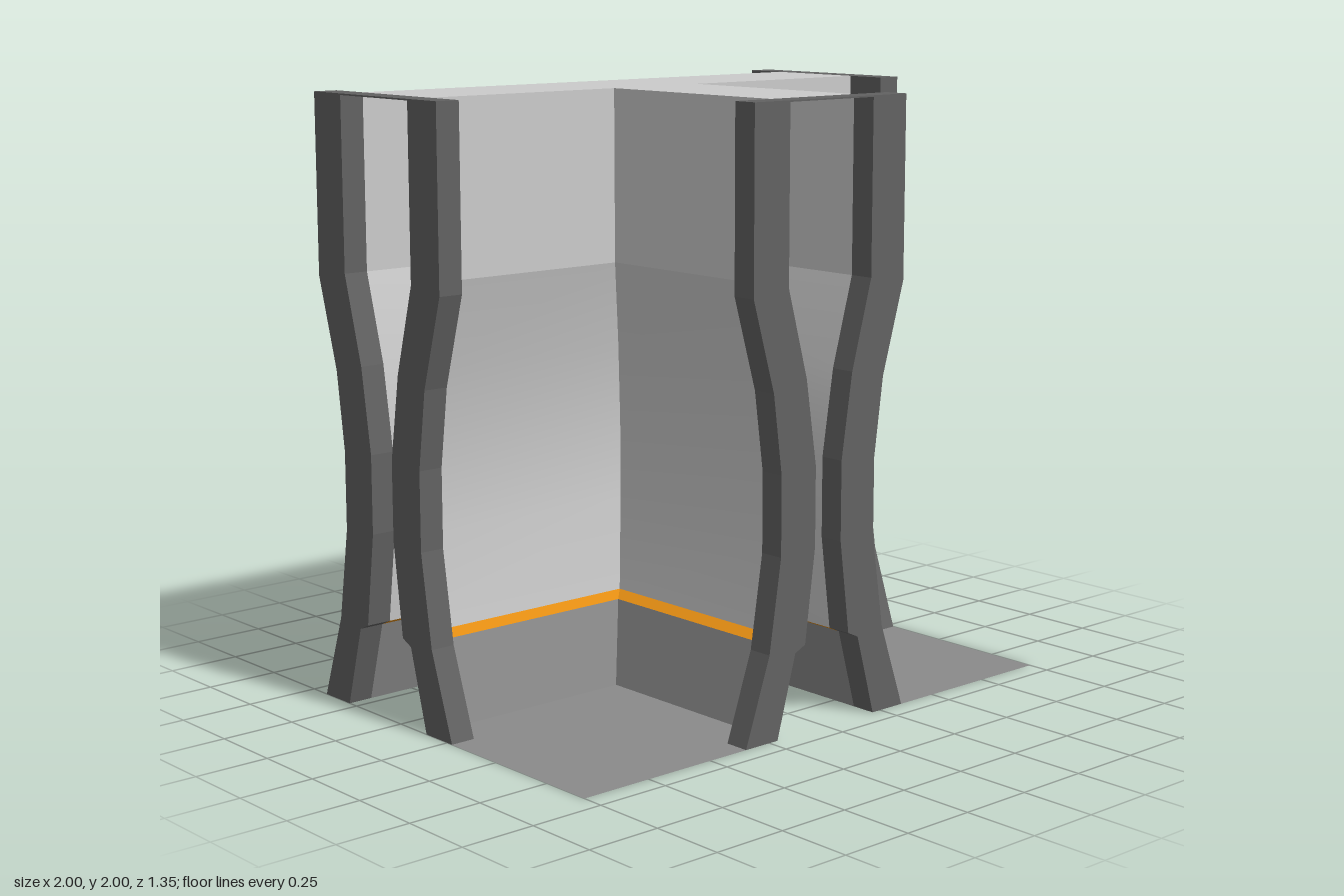
import * as THREE from 'three';

const material = (name, color) => {
  const m = new THREE.MeshStandardMaterial({ color, side: THREE.DoubleSide });
  m.name = name;
  return m;
};

// Half-width of the passage against height, as [halfWidth, y] from top to bottom
const INNER = [[0.18, 2], [0.18, 1.43], [0.1, 1.14], [0.057, 0.86], [0.057, 0.6], [0.097, 0.29], [0.14, 0.27], [0.215, 0]];
const OUTER = [[0.327, 2], [0.327, 1.41], [0.24, 1.11], [0.205, 0.85], [0.205, 0.59], [0.252, 0.285], [0.35, 0]];
const AXIS_Z = -0.325; // centre line of the cross passage
const END = 0.915;     // inner face of the side frames
const STEM_END = 0.59; // inner face of the front frame
const DEPTH = 0.085;

export function createModel() {
  const group = new THREE.Group();
  const panel = material('light grey panel', 0xcbcbcb);
  const base = material('mid grey floor', 0x8a8a8a);
  const trim = material('dark grey frame', 0x626262);
  const orange = material('orange strip', 0xe28c12);

  const add = (name, geometry, mat) => {
    const mesh = new THREE.Mesh(geometry, mat);
    mesh.name = name;
    group.add(mesh);
    return mesh;
  };

  // Ruled sheet between the start and end point of each profile row
  const sheet = (rows, ends) => {
    const pos = [], index = [];
    rows.forEach(([d, y], i) => {
      for (const [x, z] of ends(d)) pos.push(x, y, z);
      if (i) {
        const a = 2 * i - 2;
        index.push(a, a + 2, a + 1, a + 1, a + 2, a + 3);
      }
    });
    const g = new THREE.BufferGeometry();
    g.setAttribute('position', new THREE.Float32BufferAttribute(pos, 3));
    g.setIndex(index);
    g.computeVertexNormals();
    return g;
  };

  // Each wall run: upper panel, curved panel, orange strip and plinth
  const bands = [['UpperPanel', 0, 2, panel], ['CurvedPanel', 1, 6, panel], ['Strip', 5, 7, orange], ['Plinth', 6, 8, base]];
  const wall = (name, ends) => {
    for (const [part, from, to, mat] of bands) add(name + part, sheet(INNER.slice(from, to), ends), mat);
  };
  wall('backWall', d => [[END, AXIS_Z - d], [-END, AXIS_Z - d]]);
  for (const s of [1, -1]) {
    const side = s > 0 ? 'left' : 'right';
    const order = p => (s > 0 ? p : p.reverse());
    wall(side + 'ArmWall', d => order([[s * d, AXIS_Z + d], [s * END, AXIS_Z + d]]));
    wall(side + 'StemWall', d => order([[s * d, STEM_END], [s * d, AXIS_Z + d]]));
  }

  // Flat plates drawn as [x, z] outlines
  const plate = (name, outline, y, mat) => {
    const g = new THREE.ShapeGeometry(new THREE.Shape(outline.map(([x, z]) => new THREE.Vector2(x, -z))));
    g.rotateX(-Math.PI / 2);
    add(name, g, mat).position.y = y;
  };

  // T-shaped ceiling
  const w = INNER[0][0], back = AXIS_Z - w, front = AXIS_Z + w;
  plate('ceiling', [[-END, back], [END, back], [END, front], [w, front], [w, STEM_END],
    [-w, STEM_END], [-w, front], [-END, front]], 2, panel);

  // Corner floors, notched around the frame feet
  const foot = 0.215, toe = 0.35;
  for (const s of [1, -1]) {
    plate(s > 0 ? 'leftFloor' : 'rightFloor', [
      [foot, AXIS_Z + foot], [END, AXIS_Z + foot], [END, AXIS_Z + toe], [1, AXIS_Z + toe],
      [1, STEM_END + DEPTH], [toe, STEM_END + DEPTH], [toe, STEM_END], [foot, STEM_END],
    ].map(([x, z]) => [s * x, z]), 0, base);
  }

  // End frames: two curved legs joined by a thin top
  const mirror = pts => pts.map(([d, y]) => [-d, y]);
  const inside = INNER.map(([d, y]) => [d, y === 2 ? 1.995 : y]);
  const outline = [...OUTER, ...[...inside].reverse(), ...mirror(inside), ...mirror(OUTER).reverse()];
  const frameGeometry = new THREE.ExtrudeGeometry(
    new THREE.Shape(outline.map(([x, y]) => new THREE.Vector2(x, y))), { depth: DEPTH, bevelEnabled: false });
  for (const [name, x, z, turn] of [['frontFrame', 0, STEM_END, 0],
    ['leftFrame', END, AXIS_Z, Math.PI / 2], ['rightFrame', -END, AXIS_Z, -Math.PI / 2]]) {
    const frame = add(name, frameGeometry, trim);
    frame.position.set(x, 0, z);
    frame.rotation.y = turn;
  }
  return group;
}
